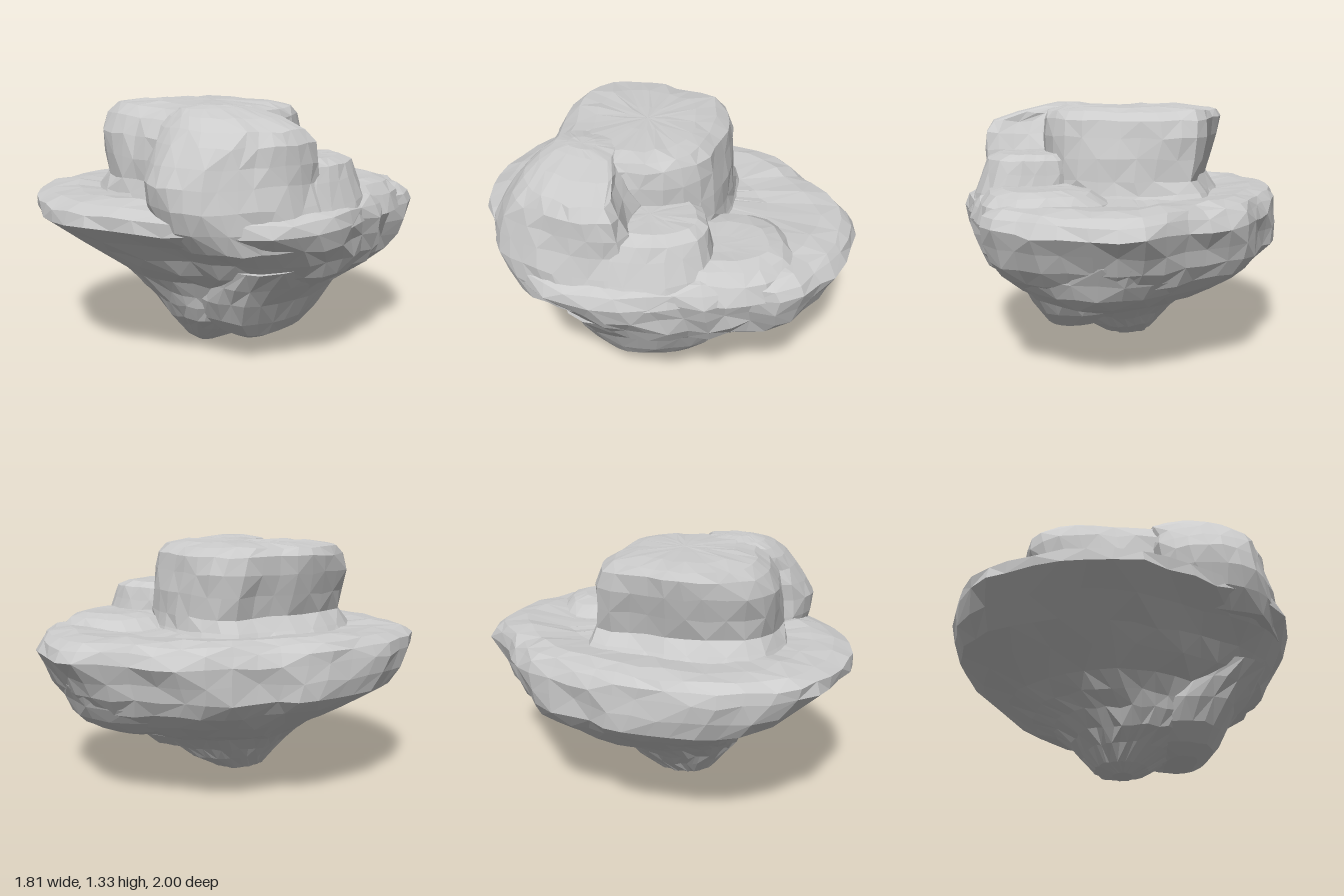
import * as THREE from 'three';

const material = new THREE.MeshStandardMaterial({ color: 0xcccccc, flatShading: true });

// Deterministic roughness in -1..1
function rough(x, y, z, k) {
  const s = Math.sin(x * 127.1 + y * 311.7 + z * 74.7 + k * 19.3) * 4375.85;
  const fine = (s - Math.floor(s)) * 2 - 1;
  const broad = Math.sin(x * 9 + k * 2.1) * Math.sin(y * 11 + z * 8 + k);
  return 0.6 * fine + 0.4 * broad;
}

// Closed outline, counterclockwise from above, rescaled to 0..1 in x and z
function outline(points, count) {
  const curve = new THREE.CatmullRomCurve3(points.map(([x, z]) => new THREE.Vector3(x, 0, z)), true);
  const pts = curve.getSpacedPoints(count).slice(0, count);
  const box = new THREE.Box3().setFromPoints(pts);
  const size = box.getSize(new THREE.Vector3());
  return pts.map((p) => [(p.x - box.min.x) / size.x, (p.z - box.min.z) / size.z]);
}

// Loft an outline through levels [y, xMin, xMax, zMin, zMax, roundness] and close both ends
function rock(name, shape, levels, jitter) {
  const n = shape.length, pos = [], index = [];
  const put = (x, y, z, a) => pos.push(
    x + a * rough(x, y, z, 1), Math.max(0, y + 0.7 * a * rough(x, y, z, 2)), z + a * rough(x, y, z, 3));
  for (const [y, x0, x1, z0, z1, round = 0] of levels) {
    const a = jitter * Math.min(1, 1.6 * (x1 - x0)); // calmer where the ring is small
    for (const [u, v] of shape) {
      const angle = Math.atan2(v - 0.5, u - 0.5);
      const s = THREE.MathUtils.lerp(u, 0.5 + 0.5 * Math.cos(angle), round);
      const t = THREE.MathUtils.lerp(v, 0.5 + 0.5 * Math.sin(angle), round);
      put(x0 + s * (x1 - x0), y, z0 + t * (z1 - z0), a);
    }
  }
  const capCentre = ([y, x0, x1, z0, z1]) => put((x0 + x1) / 2, y, (z0 + z1) / 2, 0);
  const bottom = levels.length * n, top = bottom + 1;
  capCentre(levels[0]);
  capCentre(levels[levels.length - 1]);
  for (let i = 0; i < levels.length - 1; i++)
    for (let j = 0; j < n; j++) {
      const a = i * n + j, b = i * n + (j + 1) % n, c = b + n, d = a + n;
      if ((i + j) % 2) index.push(a, b, c, a, c, d);
      else index.push(a, b, d, b, c, d);
    }
  for (let j = 0; j < n; j++) {
    const k = (j + 1) % n, last = (levels.length - 1) * n;
    index.push(bottom, k, j, last + j, last + k, top);
  }
  const geometry = new THREE.BufferGeometry();
  geometry.setAttribute('position', new THREE.Float32BufferAttribute(pos, 3));
  geometry.setIndex(index);
  geometry.computeVertexNormals();
  const mesh = new THREE.Mesh(geometry, material);
  mesh.name = name;
  return mesh;
}

export function createModel() {
  const group = new THREE.Group();
  group.name = 'floatingRock';

  // Wide slab tapering down to a blunt tip
  const slab = outline([
    [-0.9, 0.25], [-0.86, 0.55], [-0.75, 0.72], [-0.45, 0.92], [-0.1, 1], [0.15, 0.93],
    [0.38, 0.84], [0.6, 0.76], [0.75, 0.62], [0.85, 0.45], [0.9, 0.2], [0.86, -0.03],
    [0.88, -0.2], [0.81, -0.36], [0.83, -0.6], [0.7, -0.73], [0.57, -0.87], [0.4, -0.95],
    [0.2, -1], [0.05, -0.97], [-0.1, -0.88], [-0.32, -0.78], [-0.5, -0.66], [-0.63, -0.42],
    [-0.78, -0.2], [-0.85, 0]], 46);
  group.add(rock('islandBody', slab, [
    [0.0, -0.05, 0.05, 0.1, 0.22, 1],
    [0.04, -0.14, 0.14, -0.04, 0.28, 1],
    [0.12, -0.2, 0.26, -0.18, 0.35, 0.9],
    [0.19, -0.26, 0.38, -0.25, 0.41, 0.8],
    [0.27, -0.36, 0.5, -0.36, 0.46, 0.7],
    [0.34, -0.47, 0.57, -0.56, 0.5, 0.6],
    [0.42, -0.6, 0.68, -0.72, 0.55, 0.5],
    [0.5, -0.74, 0.79, -0.84, 0.66, 0.3],
    [0.58, -0.86, 0.84, -0.9, 0.75, 0.1],
    [0.67, -0.89, 0.87, -0.94, 0.87],
    [0.76, -0.9, 0.895, -1, 0.995],
    [0.82, -0.885, 0.875, -0.97, 0.99],
    [0.855, -0.84, 0.83, -0.92, 0.9],
    [0.87, -0.73, 0.74, -0.8, 0.78],
    [0.85, -0.5, 0.5, -0.55, 0.6],
    [0.86, -0.2, 0.2, -0.2, 0.2]], 0.02));

  // Flat-topped block standing on the slab
  const crown = outline([
    [-0.55, 0.3], [-0.5, 0.47], [-0.3, 0.6], [0, 0.63], [0.25, 0.62], [0.42, 0.5],
    [0.46, 0.2], [0.45, -0.02], [0.36, -0.2], [0.1, -0.34], [-0.1, -0.38], [-0.34, -0.36],
    [-0.4, -0.2], [-0.52, 0.05]], 32);
  group.add(rock('crownBlock', crown, [
    [0.8, -0.58, 0.5, -0.43, 0.68],
    [0.87, -0.53, 0.48, -0.39, 0.65],
    [0.94, -0.48, 0.47, -0.37, 0.63],
    [1.05, -0.51, 0.46, -0.365, 0.63],
    [1.16, -0.54, 0.46, -0.355, 0.61],
    [1.25, -0.55, 0.45, -0.33, 0.55],
    [1.295, -0.53, 0.43, -0.26, 0.48],
    [1.315, -0.38, 0.34, -0.16, 0.38],
    [1.315, -0.15, 0.12, 0, 0.2]], 0.015));

  // Rounded boulder leaning on the front left of the crown
  const boulder = outline([
    [0.1, 0.63], [0.13, 0.73], [0.25, 0.82], [0.4, 0.85], [0.57, 0.8], [0.68, 0.65],
    [0.78, 0.4], [0.78, 0.18], [0.6, 0.14], [0.42, 0.1], [0.2, 0.2]], 28);
  group.add(rock('frontBoulder', boulder, [
    [0.68, 0.15, 0.84, 0.06, 0.74],
    [0.78, 0.1, 0.84, 0.08, 0.82],
    [0.88, 0.1, 0.81, 0.1, 0.855],
    [0.98, 0.1, 0.78, 0.1, 0.855],
    [1.07, 0.1, 0.775, 0.13, 0.81],
    [1.16, 0.1, 0.775, 0.17, 0.74],
    [1.225, 0.1, 0.74, 0.21, 0.68],
    [1.275, 0.1, 0.6, 0.22, 0.62],
    [1.31, 0.12, 0.44, 0.24, 0.55],
    [1.325, 0.22, 0.36, 0.34, 0.48]], 0.015));

  // Stepped ledges along the side
  const block = outline([
    [-1, 0.3], [-0.7, 0.85], [0, 1], [0.7, 0.85], [1, 0.3], [0.95, -0.5],
    [0.6, -0.95], [-0.2, -1], [-0.8, -0.8]], 24);
  group.add(rock('upperLedge', block, [
    [0.75, 0.3, 0.88, -0.28, 0.5],
    [0.86, 0.3, 0.84, -0.25, 0.46],
    [0.97, 0.3, 0.8, -0.22, 0.4],
    [1.04, 0.32, 0.77, -0.2, 0.34],
    [1.07, 0.36, 0.7, -0.15, 0.28],
    [1.07, 0.45, 0.6, 0, 0.15]], 0.014));
  group.add(rock('lowerLedge', block, [
    [0.76, 0.1, 0.85, -0.66, 0.1],
    [0.85, 0.16, 0.82, -0.62, 0.08],
    [0.9, 0.26, 0.77, -0.57, 0.04],
    [0.92, 0.36, 0.7, -0.5, -0.02],
    [0.915, 0.48, 0.62, -0.36, -0.15]], 0.014));

  // Swellings on the underside: one beside the tip, one towards the back
  group.add(rock('hangingLobe', block, [
    [0.1, 0.24, 0.4, -0.06, 0.24],
    [0.14, 0.14, 0.48, -0.18, 0.33],
    [0.22, 0.08, 0.54, -0.28, 0.41],
    [0.34, 0.08, 0.6, -0.35, 0.46],
    [0.44, 0.12, 0.68, -0.4, 0.49],
    [0.55, 0.2, 0.78, -0.42, 0.52]], 0.018));
  group.add(rock('rearSwelling', block, [
    [0.3, 0.08, 0.32, -0.5, -0.22, 1],
    [0.33, -0.03, 0.46, -0.62, -0.08, 1],
    [0.375, -0.13, 0.56, -0.74, 0.05, 1],
    [0.44, -0.22, 0.62, -0.82, 0.1, 1],
    [0.52, -0.3, 0.67, -0.86, 0.15, 1],
    [0.62, -0.32, 0.68, -0.9, 0.15, 1]], 0.018));

  return group;
}
